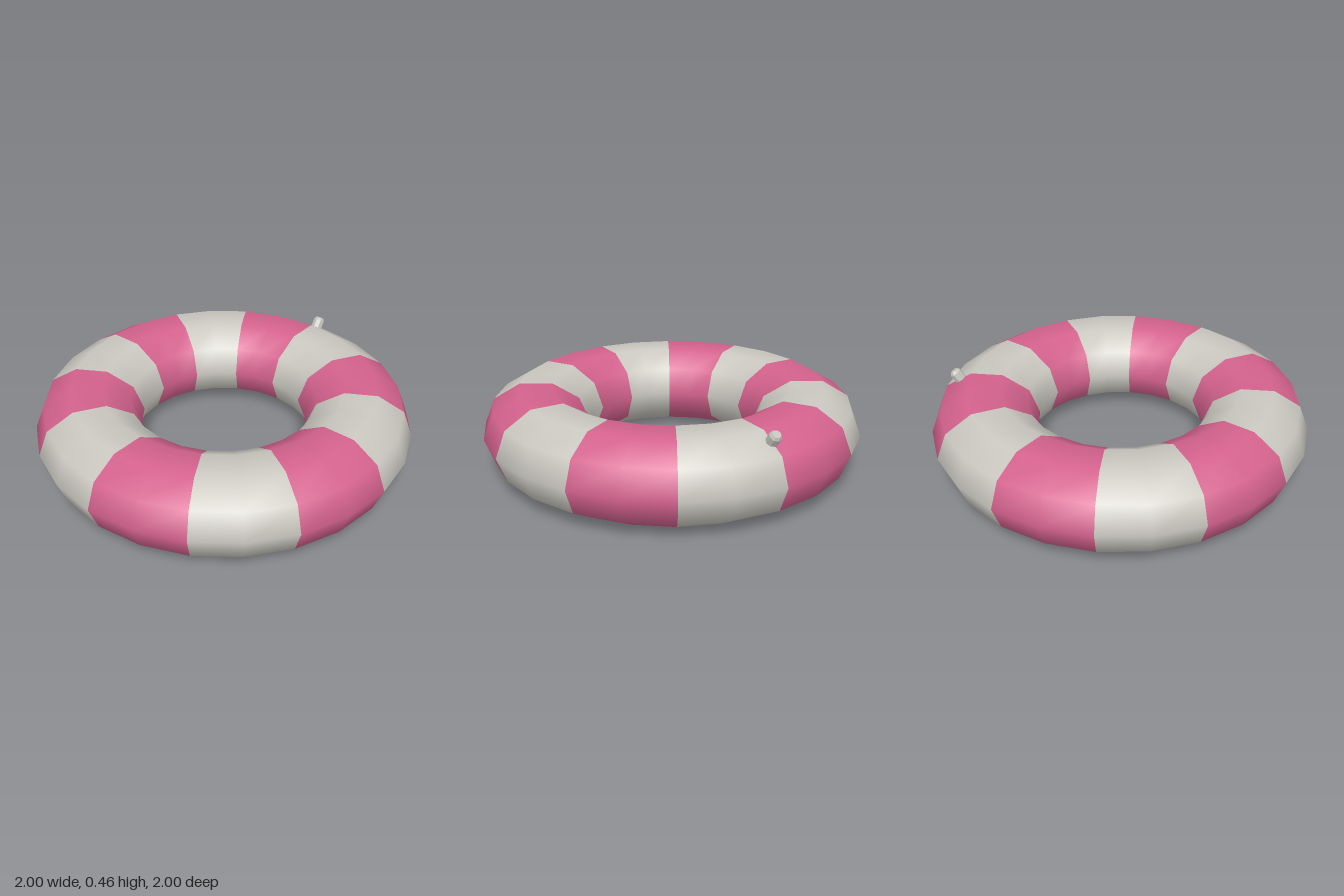
import * as THREE from 'three';

export function createModel() {
  const model = new THREE.Group();
  model.name = 'swimRing';

  const pink = new THREE.MeshStandardMaterial({ name: 'pink', color: 0xd4628d });
  const paleGrey = new THREE.MeshStandardMaterial({ name: 'paleGrey', color: 0xcac8c0 });
  const valveGrey = new THREE.MeshStandardMaterial({ name: 'valveGrey', color: 0xc4c3bc, flatShading: true });

  // Inflated ring: twelve 30 degree stripes of a slightly flattened ten-sided tube
  const ringRadius = 0.72, tubeRadius = 0.28, tubeHalfHeight = 0.229;
  const midHeight = tubeHalfHeight * Math.sin(Math.PI * 0.4);
  const stripe = new THREE.TorusGeometry(ringRadius, tubeRadius, 10, 2, Math.PI / 6);
  stripe.rotateX(Math.PI / 2);
  stripe.scale(1, tubeHalfHeight / tubeRadius, 1);

  const ring = new THREE.Group();
  ring.name = 'ring';
  for (let i = 0; i < 12; i++) {
    const mesh = new THREE.Mesh(stripe, i % 2 ? pink : paleGrey);
    mesh.name = i % 2 ? 'pinkStripe' : 'paleStripe';
    mesh.rotation.y = -i * Math.PI / 6;
    ring.add(mesh);
  }
  ring.position.y = midHeight;
  model.add(ring);

  // Small bevelled valve leaning outwards on the model's left
  const profile = [[0, 0], [0.032, 0], [0.032, 0.078], [0.022, 0.093], [0, 0.093]]
    .map(([r, y]) => new THREE.Vector2(r, y));
  const valve = new THREE.Mesh(new THREE.LatheGeometry(profile, 8), valveGrey);
  valve.name = 'valve';
  valve.position.set(0.847, 0.371, 0);
  valve.rotation.z = -0.62;
  model.add(valve);

  return model;
}
